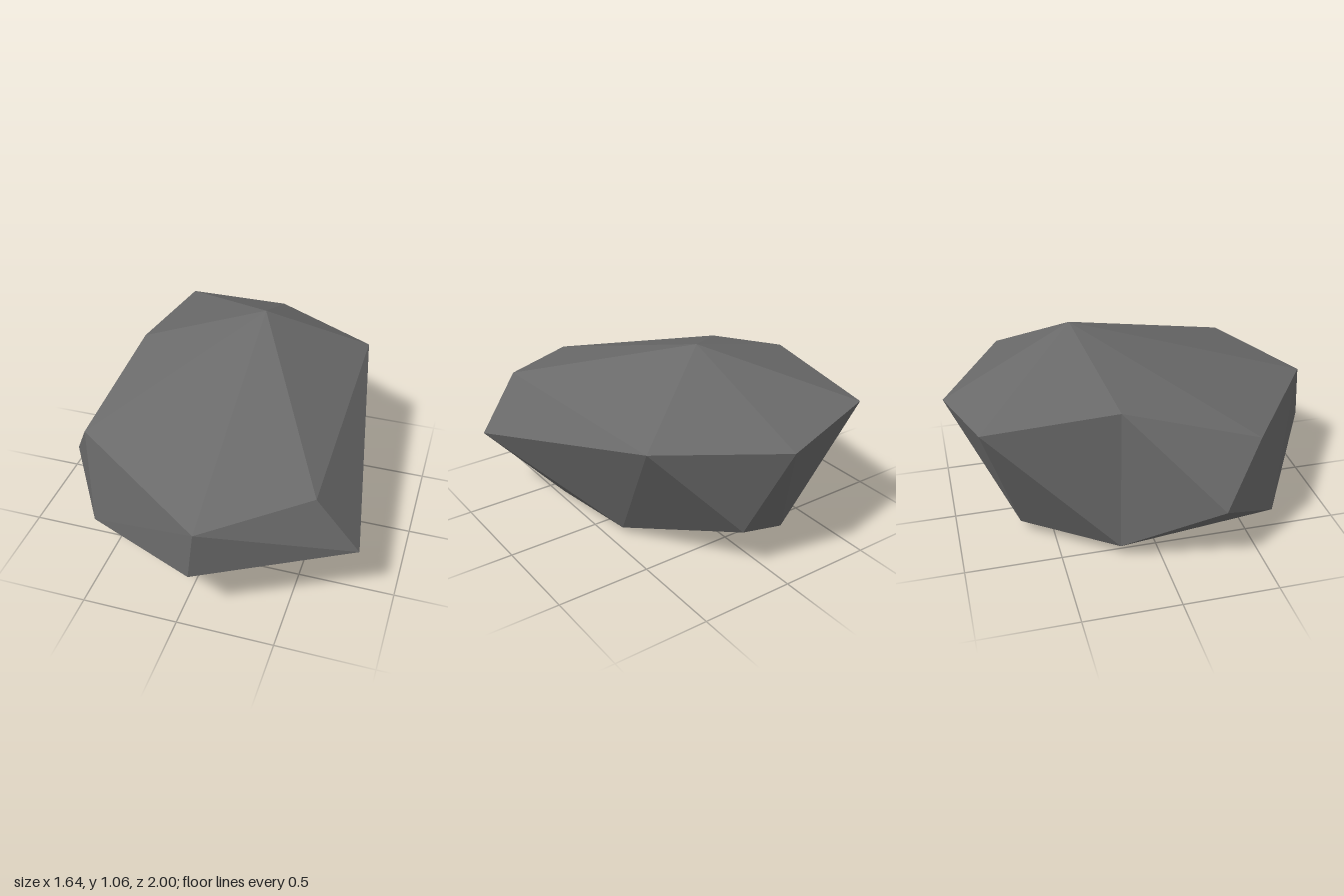
import * as THREE from 'three';

// Corner points of the boulder
const corners = {
  // crown and upper rim
  A: [0.07, 1.06, -0.32], B: [0, 0.73, -1], C: [-0.53, 0.8, -0.87], D: [0.59, 0.75, -0.65],
  E: [-0.587, 0.86, -0.2], F: [-0.66, 0.67, 0.49], I: [0.1, 0.605, 1], K: [0.6, 0.68, 0.67],
  // waist
  G: [-0.825, 0.37, 0.27], H: [-0.6, 0.18, 0.6], J: [0.07, 0.335, 1], L: [0.82, 0.38, 0.64],
  Q: [0.137, 0.25, -0.81],
  // underside
  M: [-0.28, 0, 0.56], N: [0.5, 0.045, 0.335], P: [0.418, 0.03, -0.15],
  R: [-0.235, 0.075, -0.67], S: [-0.59, 0.085, -0.21],
};

// Facets, each named by its three corners
const facets = [
  'AKD ADB ABC ACE AEF AFI AIK',          // crown
  'KLD ILK IJL FHI IJH FGH EFG',          // front and upper sides
  'EGS GHS LPD DPQ DQB BQR BRC CRS CSE',  // lower sides and back
  'HMS HMJ JML LMN LNP PQR PRS NPS MNS',  // underside
].join(' ').split(' ');

// Builds a flat-faced solid, winding every facet away from the centre
function facetedSolid(points, faces, centre) {
  const positions = [];
  const triangle = new THREE.Triangle();
  const normal = new THREE.Vector3();
  const middle = new THREE.Vector3();
  for (const face of faces) {
    const [a, b, c] = [...face].map((key) => new THREE.Vector3(...points[key]));
    triangle.set(a, b, c);
    triangle.getNormal(normal);
    triangle.getMidpoint(middle).sub(centre);
    const ordered = normal.dot(middle) > 0 ? [a, b, c] : [a, c, b];
    for (const v of ordered) positions.push(v.x, v.y, v.z);
  }
  const geometry = new THREE.BufferGeometry();
  geometry.setAttribute('position', new THREE.Float32BufferAttribute(positions, 3));
  geometry.computeVertexNormals();
  return geometry;
}

export function createModel() {
  const group = new THREE.Group();
  group.name = 'rock';
  const stone = new THREE.MeshStandardMaterial({ color: 0x6a6a6a });
  stone.name = 'stone grey';
  stone.flatShading = true;
  const boulder = new THREE.Mesh(facetedSolid(corners, facets, new THREE.Vector3(0, 0.45, 0)), stone);
  boulder.name = 'boulder';
  group.add(boulder);
  return group;
}
